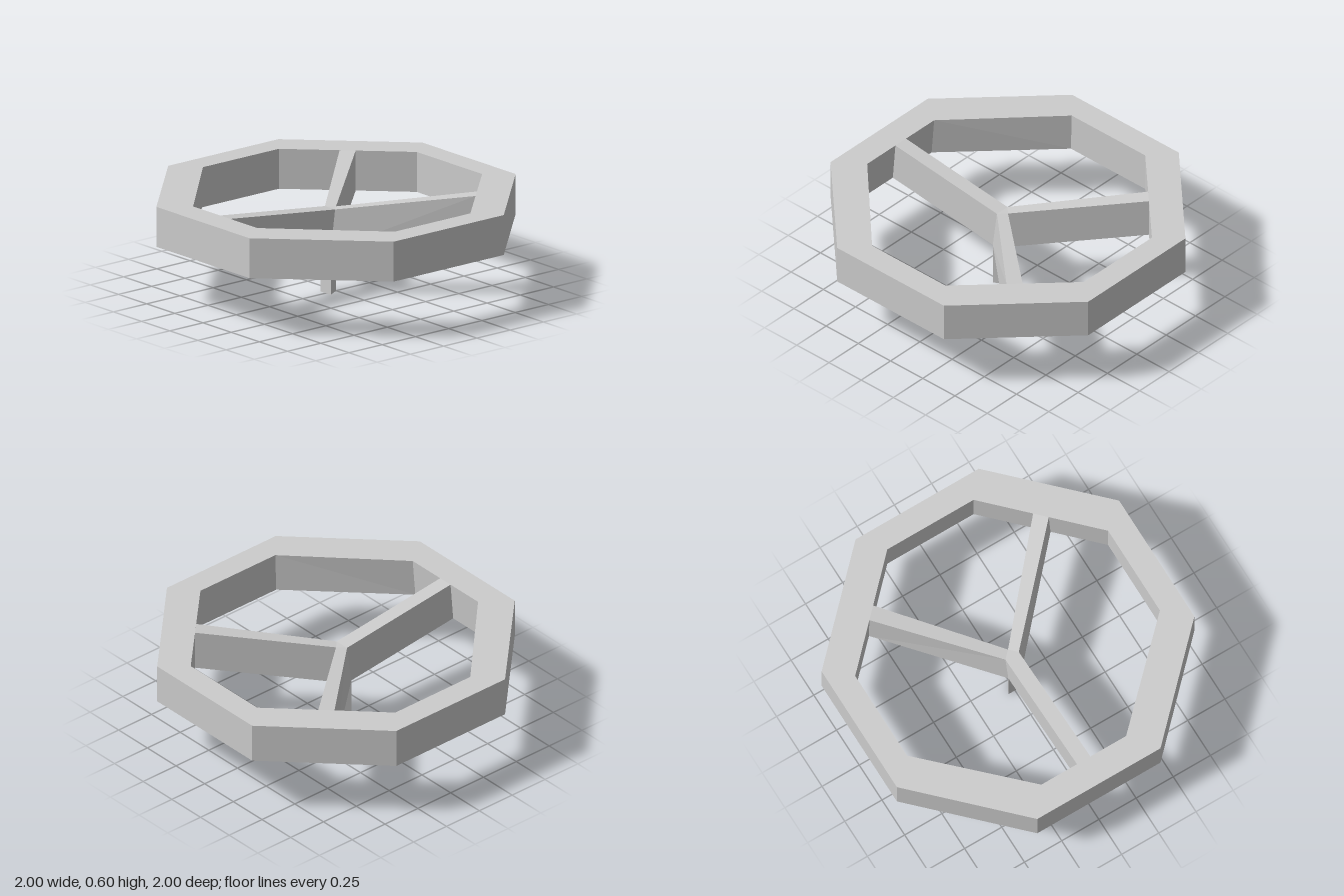
import * as THREE from 'three';

const RIM_TOP = 0.6, RIM_BOTTOM = 0.361, HUB_TOP = 0.505, HUB_BOTTOM = 0.268;

// Solid between two matching loops of [x, y, z], counterclockwise seen from above
function loft(bottom, top) {
  const pos = [];
  const tri = (a, b, c) => pos.push(...a, ...b, ...c);
  const n = bottom.length;
  for (let i = 0; i < n; i++) {
    const j = (i + 1) % n;
    tri(bottom[i], bottom[j], top[j]);
    tri(bottom[i], top[j], top[i]);
  }
  for (let i = 1; i < n - 1; i++) {
    tri(top[0], top[i], top[i + 1]);
    tri(bottom[0], bottom[i + 1], bottom[i]);
  }
  const g = new THREE.BufferGeometry();
  g.setAttribute('position', new THREE.Float32BufferAttribute(pos, 3));
  g.computeVertexNormals();
  return g;
}

const mirror = loop => loop.map(([x, y, z]) => [-x, y, z]).reverse();

// Octagonal rim whose front inner walls lean slightly outwards at the bottom
function makeRim() {
  const outerHalf = [[0.414, 1], [1, 0.414], [1, -0.414], [0.414, -1]];
  const innerHalf = [[0.285, 0.833], [0.85, 0.28], [0.85, -0.29], [0.29, -0.853]];
  // Shape y becomes z; the loop runs clockwise
  const ring = pts => [...pts, ...pts.map(([x, z]) => [-x, z]).reverse()]
    .map(([x, z]) => new THREE.Vector2(x, z));
  const shape = new THREE.Shape(ring(outerHalf).reverse());
  shape.holes.push(new THREE.Path(ring(innerHalf)));
  const rim = new THREE.ExtrudeGeometry(shape, { depth: RIM_TOP - RIM_BOTTOM, bevelEnabled: false });
  rim.rotateX(Math.PI / 2);
  rim.translate(0, RIM_TOP, 0);
  const p = rim.attributes.position;
  for (let i = 0; i < p.count; i++) {
    const x = p.getX(i), z = p.getZ(i);
    const inner = Math.max(Math.abs(x), Math.abs(z)) < 0.95;
    if (inner && z > 0 && p.getY(i) < 0.5) p.setZ(i, z * 1.024);
  }
  rim.computeVertexNormals();
  return rim;
}

export function createModel() {
  const group = new THREE.Group();
  const grey = new THREE.MeshStandardMaterial({ color: 0xcccccc });
  grey.name = 'lightGrey';
  const add = (name, geometry) => {
    const mesh = new THREE.Mesh(geometry, grey);
    mesh.name = name;
    group.add(mesh);
  };

  add('rim', makeRim());

  // Triangular hub and stem
  const w = 0.045, zTop = 0.045, zBottom = 0.077;
  const hub = (y, z) => [[0, y, 0], [-w, y, z], [w, y, z]];
  add('hub', loft(hub(HUB_BOTTOM, zBottom), hub(HUB_TOP, zTop)));
  add('stem', loft(hub(0, zBottom), hub(HUB_BOTTOM, zBottom)));

  // Front spoke, sloping down from rim to hub
  const frontLoop = (yHub, yRim, zHub, zRim) =>
    [[-w, yHub, zHub], [-w, yRim, zRim], [w, yRim, zRim], [w, yHub, zHub]];
  add('frontSpoke', loft(
    frontLoop(HUB_BOTTOM, RIM_BOTTOM, zBottom, 0.853),
    frontLoop(HUB_TOP, RIM_TOP, zTop, 0.833)));

  // Two mirrored back spokes
  const backLoop = (yHub, yRim, zHub, xRim, zRim) =>
    [[0, yHub, 0], [w, yHub, zHub], [xRim, yRim, zRim], [0.538, yRim, -0.604]];
  const low = backLoop(HUB_BOTTOM, RIM_BOTTOM, zBottom, 0.61, -0.531);
  const high = backLoop(HUB_TOP, RIM_TOP, zTop, 0.603, -0.538);
  add('backLeftSpoke', loft(low, high));
  add('backRightSpoke', loft(mirror(low), mirror(high)));

  return group;
}
